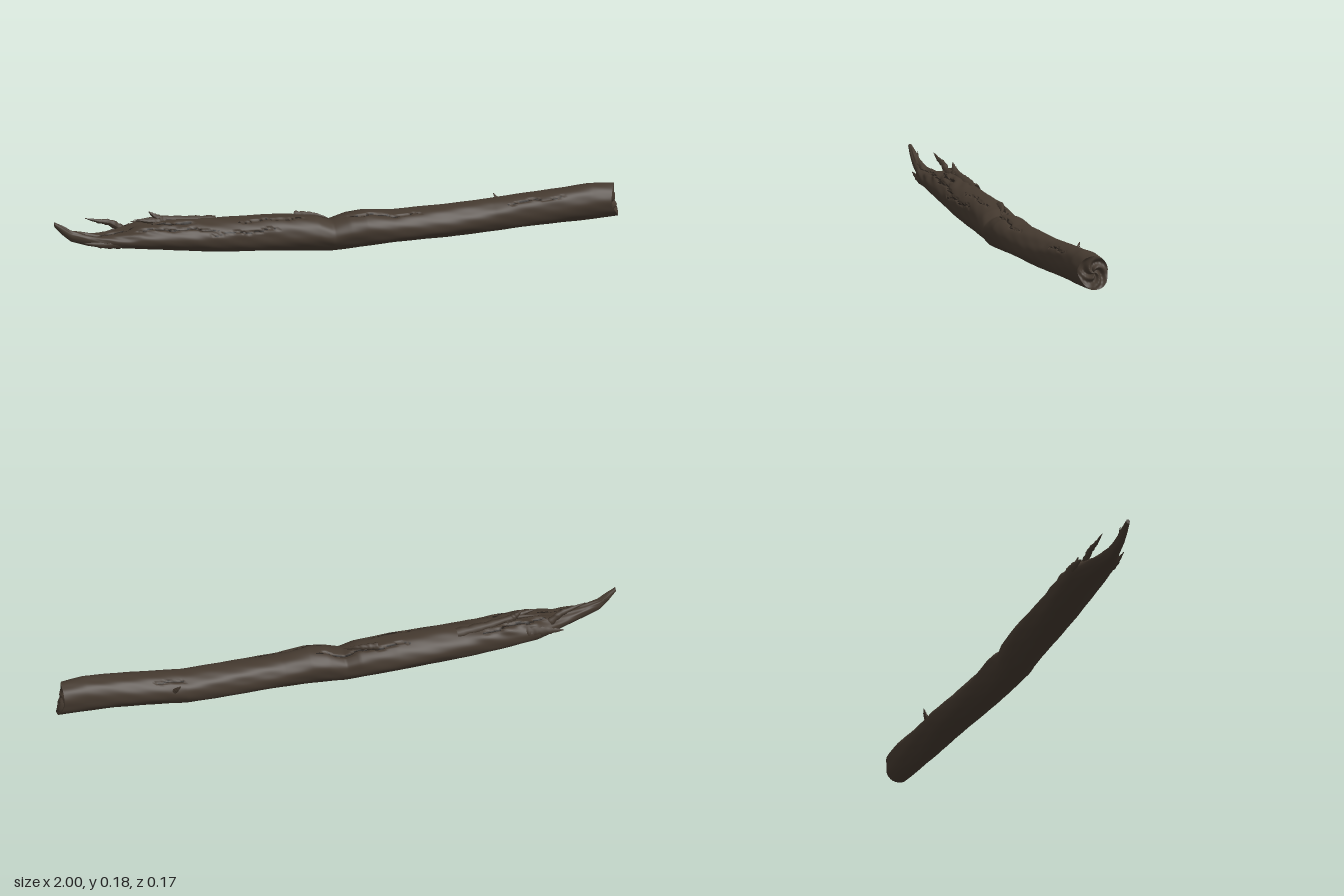
import * as THREE from 'three';

const bark = new THREE.MeshStandardMaterial({ color: 0x44392f, side: THREE.DoubleSide });
bark.name = 'darkBark';
const shade = new THREE.MeshStandardMaterial({ color: 0x241e19, side: THREE.DoubleSide });
shade.name = 'crackBrown';

// Log sections: x, bottom, top, back z, front z
const sections = [
  [-1, 0.172, 0.188, 0, 0.014], [-0.97, 0.138, 0.172, -0.006, 0.018],
  [-0.94, 0.112, 0.152, -0.01, 0.02], [-0.88, 0.092, 0.137, -0.017, 0.027],
  [-0.84, 0.084, 0.132, -0.03, 0.04], [-0.78, 0.075, 0.132, -0.052, 0.046],
  [-0.74, 0.068, 0.138, -0.07, 0.052], [-0.7, 0.062, 0.15, -0.084, 0.056],
  [-0.6, 0.05, 0.153, -0.085, 0.06], [-0.45, 0.034, 0.145, -0.08, 0.065],
], more = [
  [-0.2, 0.016, 0.142, -0.076, 0.069], [-0.07, 0.009, 0.131, -0.066, 0.075],
  [-0.02, 0.006, 0.114, -0.058, 0.078], [0.04, 0.009, 0.133, -0.056, 0.082],
  [0.1, 0.012, 0.139, -0.053, 0.085], [0.2, 0.016, 0.127, -0.052, 0.082],
  [0.4, 0.018, 0.13, -0.055, 0.075], [0.55, 0.024, 0.135, -0.061, 0.069],
  [0.63, 0.029, 0.143, -0.053, 0.07], [0.8, 0.038, 0.157, -0.041, 0.075],
  [0.9, 0.041, 0.167, -0.037, 0.073], [0.975, 0.045, 0.161, -0.034, 0.068],
];
const stations = [...sections, ...more];

// Cracks: start x, end x, angle at start, angle at end, half width
const cracks = [
  [-0.72, -0.42, 0.85, 0.7, 0.07], [-0.66, -0.5, 1.3, 1.15, 0.08], [-0.35, -0.1, 1.1, 1.2, 0.05],
  [0.02, 0.3, 1.25, 1.0, 0.06], [-0.25, 0.08, 2.1, 2.0, 0.07], [-0.75, -0.5, 2.0, 2.3, 0.08],
  [0.55, 0.66, 2.3, 2.2, 0.08], [-0.45, -0.2, 0.4, 0.55, 0.05], [0.6, 0.8, 0.9, 0.8, 0.05],
  [-0.9, -0.72, 1.0, 1.4, 0.09],
];

function sectionAt(x) {
  let i = 0;
  while (i < stations.length - 2 && x > stations[i + 1][0]) i++;
  const [a, b] = [stations[i], stations[i + 1]];
  const t = THREE.MathUtils.clamp((x - a[0]) / (b[0] - a[0]), 0, 1);
  return a.map((v, k) => v + (b[k] - v) * t);
}

// Long grain ripples, rougher on the rotten upper left
function ripple(x, a) {
  const rough = THREE.MathUtils.smoothstep(-x, 0.3, 0.7) * Math.max(0, Math.sin(a));
  return 0.018 * Math.sin(3 * a + 7 * x) + 0.014 * Math.sin(5 * a - 13 * x + 1)
    + 0.01 * Math.sin(9 * a + 23 * x) * Math.sin(31 * x)
    + rough * (0.06 * Math.sin(8 * a + 19 * x) * Math.sin(37 * x + 2 * a) + 0.035 * Math.sin(71 * x + 5 * a));
}

function crackAt(x, a) {
  let depth = 0;
  for (const [x0, x1, a0, a1, w] of cracks) {
    const t = (x - x0) / (x1 - x0);
    if (t <= 0 || t >= 1) continue;
    const mid = a0 + (a1 - a0) * t + 0.07 * Math.sin(47 * x + a0) + 0.03 * Math.sin(120 * x);
    const width = w * Math.sqrt(Math.sin(Math.PI * t)) * 1.3;
    depth = Math.max(depth, 1 - Math.abs(a - mid) / width);
  }
  return depth;
}

function surfacePoint(x, a, scale = 1) {
  const [, y0, y1, z0, z1] = sectionAt(x);
  const r = (1 + ripple(x, a) - 0.13 * crackAt(x, a)) * scale;
  const y = (y0 + y1) / 2 + (y1 - y0) / 2 * r * Math.sin(a);
  const z = (z0 + z1) / 2 + (z1 - z0) / 2 * r * Math.cos(a);
  // The broken right end slants back at the front and juts out below
  const end = THREE.MathUtils.smoothstep(x, 0.85, 0.975);
  const slant = 0.012 - 0.45 * Math.max(0, z - 0.02) + 0.015 * THREE.MathUtils.smoothstep(0.1 - y, 0, 0.04);
  return new THREE.Vector3(x + end * slant, y, z);
}

// Builds rings of points into a smooth skin, with cracks in their own group
function skin(rows, cols, point, isCrack = () => false, flip = false) {
  const pos = [], plain = [], dark = [];
  for (let i = 0; i <= rows; i++)
    for (let j = 0; j < cols; j++) pos.push(...point(i / rows, j / cols * Math.PI * 2).toArray());
  for (let i = 0; i < rows; i++)
    for (let j = 0; j < cols; j++) {
      const k = (j + 1) % cols, p = i * cols + j, q = p + cols, r = i * cols + k, s = r + cols;
      const list = isCrack((i + 0.5) / rows, (j + 0.5) / cols * Math.PI * 2) ? dark : plain;
      list.push(...(flip ? [p, r, q, q, r, s] : [p, q, r, q, s, r]));
    }
  const g = new THREE.BufferGeometry();
  g.setAttribute('position', new THREE.Float32BufferAttribute(pos, 3));
  g.setIndex([...plain, ...dark]);
  g.addGroup(0, plain.length, 0);
  g.addGroup(plain.length, dark.length, 1);
  g.computeVertexNormals();
  return g;
}

// Tapered sliver of wood along a curve
function sliver(points, radius, flat = 1) {
  const curve = new THREE.CatmullRomCurve3(points.map(p => new THREE.Vector3(...p)));
  const rows = 14, cols = 8, g = new THREE.TubeGeometry(curve, rows, radius, cols, false);
  const pos = g.attributes.position, v = new THREE.Vector3();
  for (let i = 0; i <= rows; i++) {
    const c = curve.getPointAt(i / rows);
    const taper = (1 - 0.92 * (i / rows) ** 1.5) * (1 + 0.15 * Math.sin(i * 2.3));
    for (let j = 0; j <= cols; j++) {
      const n = i * (cols + 1) + j;
      v.fromBufferAttribute(pos, n).sub(c).multiplyScalar(taper);
      v.z *= flat;
      v.add(c);
      pos.setXYZ(n, v.x, v.y, v.z);
    }
  }
  g.computeVertexNormals();
  return g;
}

export function createModel() {
  const group = new THREE.Group();
  const add = (name, geometry, material = bark) => {
    const mesh = new THREE.Mesh(geometry, material);
    mesh.name = name;
    group.add(mesh);
  };

  // Trunk
  const xAt = t => -1 + 1.975 * t;
  add('trunk', skin(280, 72, (t, a) => surfacePoint(xAt(t), a), (t, a) => crackAt(xAt(t), a) > 0.45), [bark, shade]);

  // Rough broken face at the right end, and the closed left tip
  add('brokenEnd', skin(10, 72, (t, a) => {
    const p = surfacePoint(0.975, a, 1 - t);
    p.x += Math.sin(Math.PI * Math.min(1, t * 1.5)) * -0.006 + t * (1 - t) * 0.03 * Math.sin(4 * a + 9 * t);
    return p;
  }), [bark, shade]);
  add('tipEnd', skin(2, 72, (t, a) => surfacePoint(-1, a, 1 - t), undefined, true), [bark, shade]);

  // Splinters and ragged bark at the rotten left end
  const slivers = [
    ['raisedSplinter', [[-0.75, 0.125, -0.045], [-0.79, 0.152, -0.042], [-0.83, 0.162, -0.038], [-0.88, 0.177, -0.037]], 0.014, 0.8],
    ['backSplinter', [[-0.66, 0.11, -0.068], [-0.72, 0.112, -0.074], [-0.79, 0.108, -0.078]], 0.024, 0.55],
    ['lowerSplinter', [[-0.74, 0.1, 0.03], [-0.83, 0.1, 0.036], [-0.9, 0.11, 0.034]], 0.02, 0.6],
    ['barkRidge', [[-0.42, 0.133, -0.03], [-0.54, 0.146, -0.03], [-0.62, 0.158, -0.028], [-0.72, 0.153, -0.03]], 0.016, 1.3],
    ['barkPeak', [[-0.6, 0.145, -0.025], [-0.63, 0.163, -0.028], [-0.655, 0.184, -0.03]], 0.016, 1],
    ['barkShard', [[-0.62, 0.15, -0.015], [-0.67, 0.158, -0.01], [-0.71, 0.166, -0.012]], 0.012, 1],
    ['tipShard', [[-0.9, 0.12, 0], [-0.95, 0.145, -0.004], [-0.975, 0.165, -0.012]], 0.014, 0.6],
    ['twig', [[0.6, 0.095, -0.045], [0.59, 0.113, -0.06], [0.58, 0.13, -0.07]], 0.01, 1],
    ['notchLip', [[-0.14, 0.13, -0.025], [-0.07, 0.128, -0.01], [-0.025, 0.118, 0.01]], 0.013, 1],
  ];
  for (const [name, points, radius, flat] of slivers) add(name, sliver(points, radius, flat));

  return group;
}
